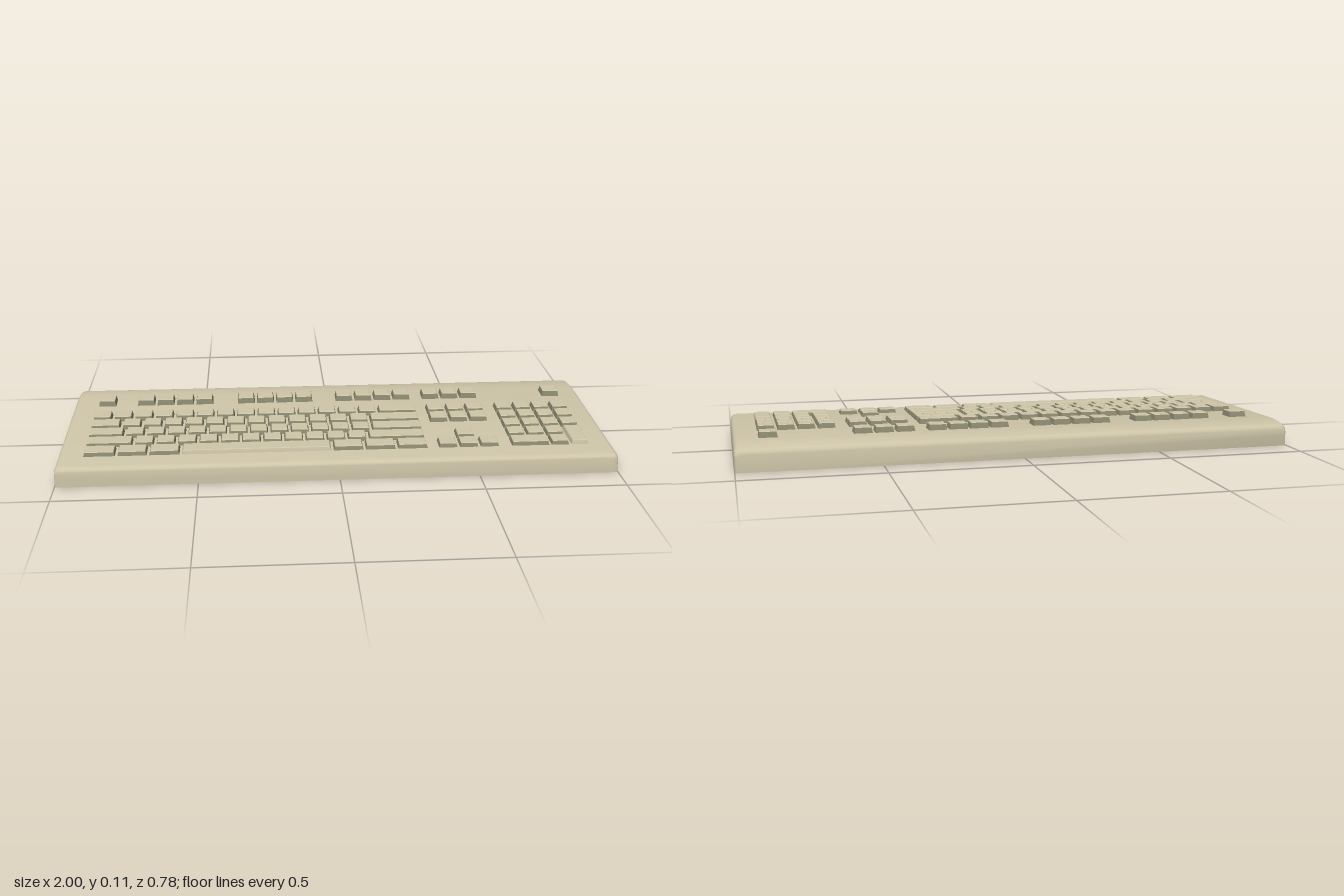
import * as THREE from 'three';
import { toCreasedNormals } from 'three/addons/utils/BufferGeometryUtils.js';

// Skin a list of convex rings (counter-clockwise seen from the first end) and cap both ends
function loft(rings, crease) {
  const n = rings[0].length, last = (rings.length - 1) * n, index = [];
  for (let i = 0; i < rings.length - 1; i++) {
    for (let j = 0; j < n; j++) {
      const a = i * n + j, d = i * n + (j + 1) % n, b = a + n, c = d + n;
      index.push(a, b, c, a, c, d);
    }
  }
  for (let j = 1; j < n - 1; j++) {
    index.push(0, j, j + 1, last, last + j + 1, last + j);
  }
  const geo = new THREE.BufferGeometry();
  geo.setAttribute('position', new THREE.Float32BufferAttribute(rings.flat(2), 3));
  geo.setIndex(index);
  return toCreasedNormals(geo, crease);
}

// Case cross-section at depth z: flat bottom, rounded upper corners
function caseSection([z, h, w]) {
  const r = 0.02, pts = [[w, 0, z]];
  for (const side of [1, -1]) {
    for (let k = 0; k <= 5; k++) {
      const a = (side > 0 ? k : 5 - k) / 5 * Math.PI / 2;
      pts.push([side * (w - r + r * Math.cos(a)), h - r + r * Math.sin(a), z]);
    }
  }
  pts.push([-w, 0, z]);
  return pts;
}

const SLOPE = 0.0277;
const deckY = z => 0.0803 - SLOPE * z;

function material(name, color) {
  const m = new THREE.MeshStandardMaterial({ color });
  m.name = name;
  return m;
}

export function createModel() {
  const beige = material('beige plastic', 0xcec5a8);
  const shade = material('grey olive key skirt', 0x8e8c72);
  const model = new THREE.Group();
  model.name = 'keyboard';

  function addMesh(parent, name, geometry, mat) {
    const mesh = new THREE.Mesh(geometry, mat);
    mesh.name = name;
    parent.add(mesh);
  }

  // Case: rounded front lip, sloping deck, drooping rear edge
  const stations = [
    [0.389, 0.054, 0.99], [0.387, 0.061, 0.996], [0.38, 0.067, 0.999], [0.365, 0.0702, 1],
    [-0.27, 0.0878, 1], [-0.3, 0.088, 1], [-0.33, 0.0855, 1], [-0.365, 0.08, 1],
    [-0.378, 0.076, 0.999], [-0.386, 0.069, 0.996], [-0.389, 0.06, 0.99],
  ];
  addMesh(model, 'case', loft(stations.map(caseSection), 0.6), beige);

  const PITCH = 0.0775, GAP = 0.005;
  const rowZ = [-0.052, 0.0255, 0.104, 0.1815, 0.259];
  const topRowZ = -0.206;

  // Tapered keycap: light top with a softened edge over a darker skirt
  function addKey(group, w, d, x, z, skirt) {
    const h = 0.019 - 0.014 * z;
    const ring = (inset, y) => {
      const rx = w / 2 - inset, rz = d / 2 - inset;
      return [[rx, y, rz], [rx, y, -rz], [-rx, y, -rz], [-rx, y, rz]];
    };
    const key = new THREE.Group();
    key.name = 'key';
    key.position.set(x, deckY(z), z);
    key.rotation.x = Math.atan(SLOPE);
    addMesh(key, 'keyTop', loft([ring(0.008, h), ring(0.006, h - 0.002)], 0.3), beige);
    addMesh(key, 'keySkirt', loft([ring(0.006, h - 0.002), ring(0.002, 0), ring(0.001, -0.008)], 0.3), skirt);
    group.add(key);
  }

  // x0 is the left end of the cell, cell is its width
  function block(name) {
    const group = new THREE.Group();
    group.name = name;
    model.add(group);
    return (x0, cell, z, depth = PITCH, skirt = shade) =>
      addKey(group, cell - GAP, depth - GAP - 0.002, x0 + cell / 2, z, skirt);
  }

  // Top row: start of each group and number of keys
  const topKey = block('topRowKeys');
  for (const [x0, count] of [[-0.908, 1], [-0.758, 4], [-0.368, 4], [0.018, 4], [0.361, 3], [0.843, 1]]) {
    for (let i = 0; i < count; i++) topKey(x0 + i * 0.0757, 0.0757, topRowZ);
  }

  // Main typing block: 16 units wide, five rows of key widths
  const run = (count, width = 1) => Array(count).fill(width);
  const rows = [
    [...run(14), 2],
    [1.5, ...run(12), 2.5],
    [1.75, ...run(12, 11.75 / 12), 2.5],
    [2.25, ...run(11), 2.75],
    [1.55, 1.45, 1.5, 7, 1.5, 1.5, 1.5],
  ];
  const unit = 1.24 / 16;
  const typingKey = block('typingKeys');
  rows.forEach((widths, r) => {
    let x = -0.912;
    for (const w of widths) {
      typingKey(x, w * unit, rowZ[r], PITCH, w === 7 ? beige : shade);
      x += w * unit;
    }
  });

  // Editing keys and arrow keys
  const editKey = block('navigationKeys');
  for (const r of [0, 1, 4]) {
    for (let i = 0; i < 3; i++) editKey(0.361 + i * 0.0757, 0.0757, rowZ[r]);
  }
  editKey(0.4367, 0.0757, rowZ[3]);

  // Number pad with a wide bottom-left key and a tall bottom-right key
  const padKey = block('numberPad');
  const padX = i => 0.628 + i * 0.0725;
  for (let r = 0; r < 4; r++) {
    for (let i = 0; i < (r < 3 ? 4 : 3); i++) padKey(padX(i), 0.0725, rowZ[r]);
  }
  padKey(padX(0), 0.145, rowZ[4]);
  padKey(padX(2), 0.0725, rowZ[4]);
  padKey(padX(3), 0.0725, (rowZ[3] + rowZ[4]) / 2, 2 * PITCH, beige);

  return model;
}
